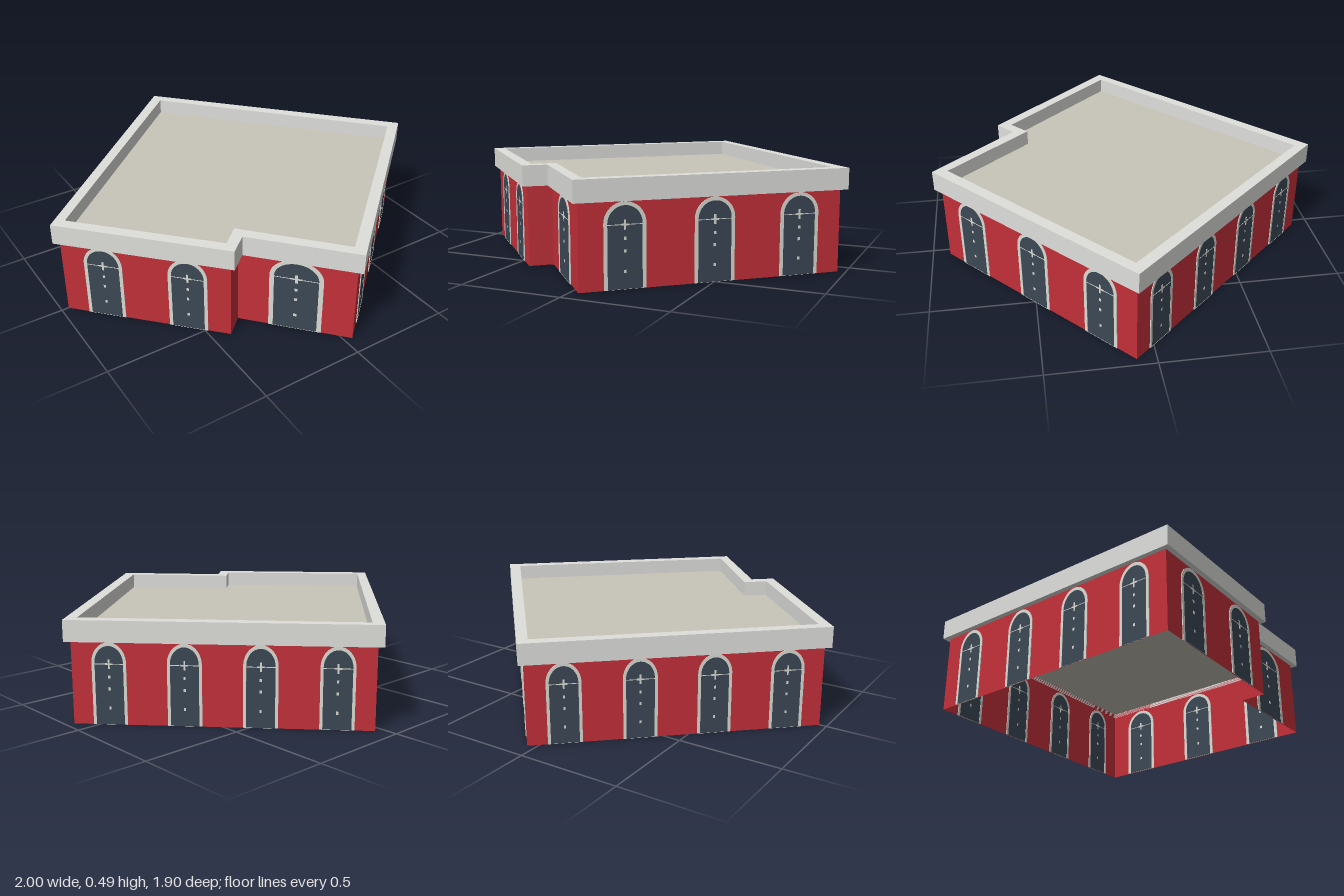
import * as THREE from 'three';

// Footprints as [x, z], walking left corner -> notch -> front -> right -> back
const EAVES = [[-1, 0], [-0.415, 0.622], [-0.325, 0.545], [0.04, 0.95], [1, 0.09], [0.04, -0.95]];
const WALL = [[-0.965, 0], [-0.412, 0.586], [-0.323, 0.508], [0.04, 0.913], [0.962, 0.09], [0.04, -0.914]];
const INNER = [[-0.928, 0], [-0.41, 0.55], [-0.32, 0.47], [0.04, 0.875], [0.922, 0.09], [0.04, -0.877]];
const BAYS = [2, 0, 1, 3, 4, 4];
const EAVES_Y = 0.39, DECK_Y = 0.415, TOP_Y = 0.49;

const material = (name, color, side = THREE.FrontSide) => {
  const m = new THREE.MeshStandardMaterial({ color, side });
  m.name = name;
  return m;
};

const mesh = (name, geometry, mat) => {
  const m = new THREE.Mesh(geometry, mat);
  m.name = name;
  return m;
};

const toPoints = (pts) => pts.map(([x, z]) => new THREE.Vector2(x, -z));

// Horizontal ring between two footprints
function ring(outer, inner, y0, y1) {
  const shape = new THREE.Shape(toPoints(outer));
  shape.holes.push(new THREE.Path(toPoints(inner)));
  const g = new THREE.ExtrudeGeometry(shape, { depth: y1 - y0, bevelEnabled: false });
  return g.rotateX(-Math.PI / 2).translate(0, y0, 0);
}

// Round-headed opening outline
function arch(path, halfWidth, spring, rise, bottom) {
  path.moveTo(-halfWidth, bottom);
  path.lineTo(halfWidth, bottom);
  path.lineTo(halfWidth, spring);
  path.absellipse(0, spring, halfWidth, rise, 0, Math.PI, false, 0);
  path.lineTo(-halfWidth, bottom);
  return path;
}

// Thin plate centred on the wall plane, so it shows inside and outside
function plate(shape, depth) {
  return new THREE.ExtrudeGeometry(shape, { depth, bevelEnabled: false, curveSegments: 16 })
    .translate(0, 0, -depth / 2);
}

function makeWindow(bay, mats) {
  const g = new THREE.Group();
  g.name = 'archedWindow';
  const outer = bay * 0.23, inner = bay * 0.19;

  g.add(mesh('windowGlass', plate(arch(new THREE.Shape(), outer * 0.98, 0.29, 0.09, 0.001), 0.004), mats.glass));
  const frame = arch(new THREE.Shape(), outer, 0.29, 0.095, 0.001);
  frame.holes.push(arch(new THREE.Path(), inner, 0.29, 0.079, 0.0015));
  g.add(mesh('windowFrame', plate(frame, 0.007), mats.trim));

  // Glazing bars with a small cross and studs
  const bar = (name, w, h, y) => {
    const b = mesh(name, new THREE.BoxGeometry(w, h, 0.006), mats.trim);
    b.position.y = y;
    g.add(b);
  };
  bar('transom', inner * 2, 0.003, 0.285);
  bar('crossArm', bay * 0.1, 0.008, 0.285);
  bar('crossUpright', bay * 0.024, 0.045, 0.285);
  for (const y of [0.08, 0.17, 0.225]) bar('glazingStud', bay * 0.028, 0.014, y);
  return g;
}

export function createModel() {
  const model = new THREE.Group();
  model.name = 'building';
  const mats = {
    wall: material('red wall', 0xc4303a, THREE.DoubleSide),
    trim: material('light window trim', 0xdcddd5),
    glass: material('dark glass', 0x3c4855),
    parapet: material('pale stone', 0xdfe0dc),
    deck: material('roof deck', 0xc8c5ba, THREE.DoubleSide),
  };

  // Walls with evenly spaced windows
  WALL.forEach(([x0, z0], i) => {
    const [x1, z1] = WALL[(i + 1) % WALL.length];
    const length = Math.hypot(x1 - x0, z1 - z0);
    const side = new THREE.Group();
    side.name = 'wallSide';
    side.position.set((x0 + x1) / 2, 0, (z0 + z1) / 2);
    side.rotation.y = Math.atan2(z0 - z1, x1 - x0);
    side.add(mesh('wall', new THREE.PlaneGeometry(length, DECK_Y).translate(0, DECK_Y / 2, 0), mats.wall));
    const bay = length / BAYS[i];
    for (let k = 0; k < BAYS[i]; k++) {
      const w = makeWindow(bay, mats);
      w.position.x = (k + 0.5) * bay - length / 2;
      side.add(w);
    }
    model.add(side);
  });

  // Sunken flat roof
  const deck = new THREE.ShapeGeometry(new THREE.Shape(toPoints(WALL)));
  model.add(mesh('roofDeck', deck.rotateX(-Math.PI / 2).translate(0, DECK_Y, 0), mats.deck));

  // Parapet: overhanging outer band and inner band above the deck
  model.add(mesh('parapetOverhang', ring(EAVES, WALL, EAVES_Y, TOP_Y), mats.parapet));
  model.add(mesh('parapetInner', ring(WALL, INNER, DECK_Y + 0.001, TOP_Y), mats.parapet));
  return model;
}
